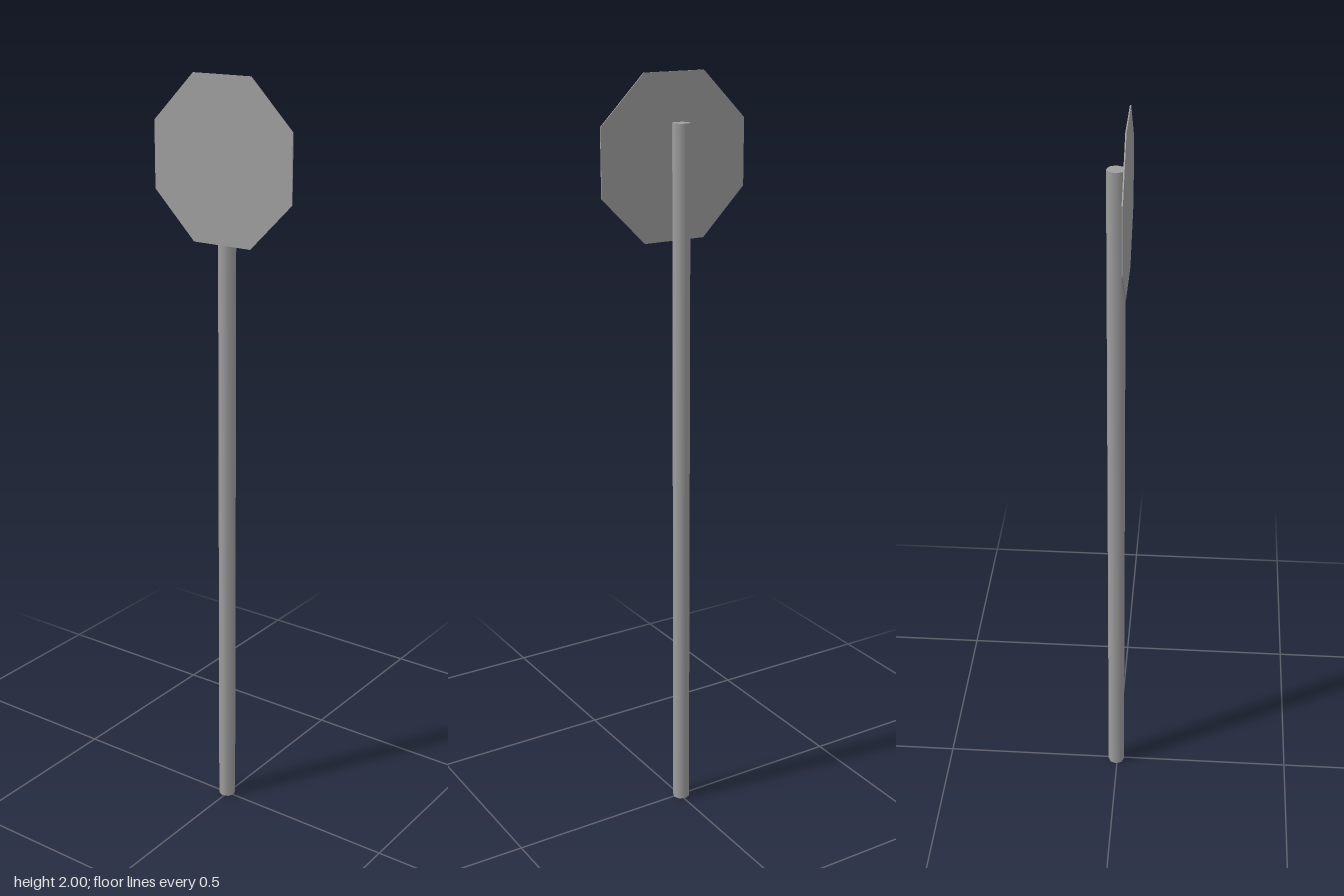
import * as THREE from 'three';

export function createModel() {
  const group = new THREE.Group();
  group.name = 'roadSign';
  const material = new THREE.MeshStandardMaterial({ color: 0x9e9e9e });

  // Eight-sided pole with smooth sides, capped at both ends
  const poleHeight = 1.88;
  const pole = new THREE.Mesh(new THREE.CylinderGeometry(0.023, 0.023, poleHeight, 8), material);
  pole.name = 'pole';
  pole.position.set(-0.004, poleHeight / 2, -0.003);
  group.add(pole);

  // Thin octagonal plate just in front of the pole, flat edge on top
  const halfWidth = 0.206;
  const thickness = 0.003;
  const corners = Array.from({ length: 8 }, (_, i) => {
    const angle = (i + 0.5) * Math.PI / 4;
    const radius = halfWidth / Math.cos(Math.PI / 8);
    return new THREE.Vector2(radius * Math.cos(angle), radius * Math.sin(angle));
  });
  const panel = new THREE.Mesh(
    new THREE.ExtrudeGeometry(new THREE.Shape(corners), { depth: thickness, bevelEnabled: false }),
    material
  );
  panel.name = 'signPanel';
  panel.position.set(0, 2 - halfWidth, 0.026 - thickness);
  group.add(panel);

  return group;
}
